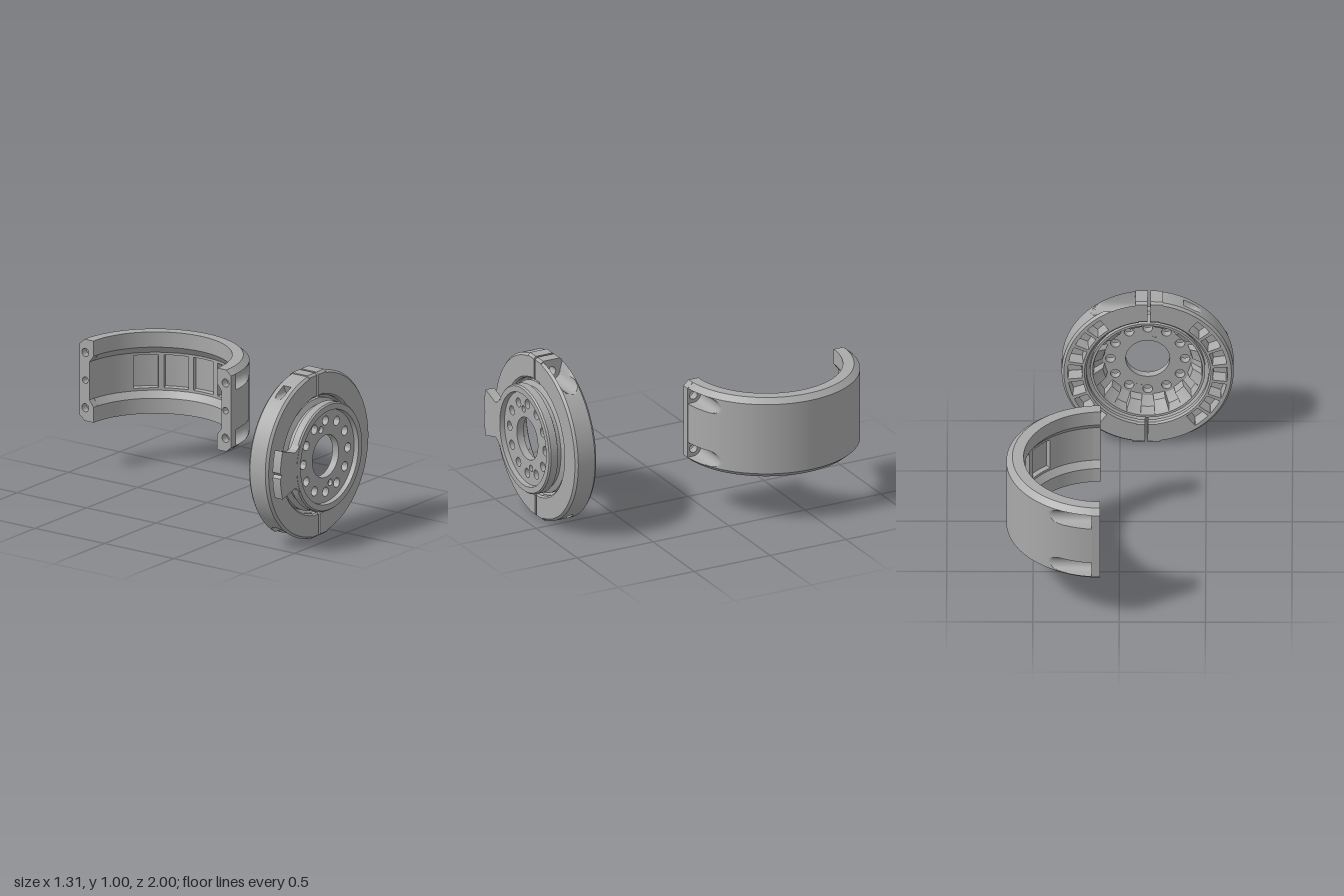
import * as THREE from 'three';
import { toCreasedNormals } from 'three/addons/utils/BufferGeometryUtils.js';

const RAD = Math.PI / 180;
const metal = new THREE.MeshStandardMaterial({ color: 0xa9a9a9 });
metal.name = 'machined grey';

function addPart(parent, name, geometry) {
  const mesh = new THREE.Mesh(toCreasedNormals(geometry, 0.5), metal);
  mesh.name = name;
  parent.add(mesh);
  return mesh;
}

const unique = (list) => [...new Set(list.map((v) => +v.toFixed(5)))].sort((a, b) => a - b);

// Angles from start to end in degrees, with extra stops for steps
function stops(start, end, step, extra = []) {
  const list = [start, end, ...extra];
  for (let a = start + step; a < end - 0.01; a += step) list.push(a);
  return unique(list);
}

// Evenly spaced pockets as [start, end] angle pairs
const pocketRow = (start, pitch, count, rib) =>
  Array.from({ length: count }, (_, i) => [start + pitch * i + rib / 2, start + pitch * (i + 1) - rib / 2]);
const pocketStops = (row) => row.flatMap(([s, e]) => [s, s + 0.5, e - 0.5, e]);
const inPocket = (row, a) => row.some(([s, e]) => a > s + 0.25 && a < e - 0.25);

// Heights that trace a round bore
const boreLines = (centre, r) => Array.from({ length: 13 }, (_, i) => centre + r * Math.sin((i - 6) * 15 * RAD));

// Sweep a counterclockwise (radius, z) loop about the z axis, 0 degrees at +y towards +x
function sweep(angles, section, capped = false) {
  const pos = [], index = [];
  let n = 0;
  angles.forEach((a) => {
    const loop = section(a);
    n = loop.length;
    loop.forEach(([r, h]) => pos.push(r * Math.sin(a * RAD), r * Math.cos(a * RAD), h));
  });
  for (let i = 0; i < angles.length - 1; i++) {
    for (let j = 0; j < n; j++) {
      const a = i * n + j, b = i * n + (j + 1) % n;
      index.push(a, b, b + n, a, b + n, a + n);
    }
  }
  if (capped) {
    const last = (angles.length - 1) * n;
    for (let j = 0; j < n / 2 - 1; j++) {
      const m = n - 1 - j;
      index.push(j, m, m - 1, j, m - 1, j + 1);
      index.push(last + j, last + j + 1, last + m - 1, last + j, last + m - 1, last + m);
    }
  }
  const g = new THREE.BufferGeometry();
  g.setAttribute('position', new THREE.Float32BufferAttribute(pos, 3));
  g.setIndex(index);
  return g;
}

function circlePath(x, y, r) {
  return new THREE.Path().absarc(x, y, r, 0, Math.PI * 2, true);
}

// Straight block closing one end of a half ring, with bolt holes along x
function endBlock(loop, x0, x1, side, holes) {
  const shape = new THREE.Shape(loop.map(([r, h]) => new THREE.Vector2(r, h)));
  holes.forEach(([r, h, radius]) => shape.holes.push(circlePath(r, h, radius)));
  const g = new THREE.ExtrudeGeometry(shape, { depth: x1 - x0, bevelEnabled: false, curveSegments: 10 });
  g.applyMatrix4(new THREE.Matrix4().makeBasis(
    new THREE.Vector3(0, side, 0), new THREE.Vector3(0, 0, 1), new THREE.Vector3(side, 0, 0)));
  return g.translate(side > 0 ? x0 : x1, 0, 0);
}

// Half of the split clamp ring, pocketed on the back
function clampHalf(name) {
  const half = new THREE.Group();
  half.name = name;
  const R = 0.498, mid = 0.85, seat = 0.08;
  const row = pocketRow(36, 108 / 7, 7, 2.6);
  const lines = unique([...boreLines(mid, 0.055), ...boreLines(mid, 0.027)]);
  const section = (a, solid) => {
    const bore = a < 70 ? 0.055 : a > 110 && a < 156.2 ? 0.027 : 0;
    const outer = lines.map((h) => {
      const d = Math.abs(h - mid);
      if (solid || d >= bore) return [R, h];
      return [Math.min(R, (0.425 - Math.sqrt(bore * bore - d * d)) / Math.abs(Math.cos(a * RAD))), h];
    });
    const floor = !solid && inPocket(row, a) ? 0.86 : 0.78;
    return [
      [0.366, 0.78], [0.38, 0.78], [0.385, floor], [0.458, floor], [0.463, 0.78], [0.485, 0.78],
      ...outer,
      [0.485, 0.92], [0.36, 0.92], [0.35, 0.91], [0.35, 0.885], [0.332, 0.87], [0.332, 0.83], [0.355, 0.815], [0.355, 0.79],
    ];
  };
  const a0 = Math.asin(seat / R) / RAD;
  addPart(half, 'clampArc', sweep(
    stops(a0, 180 - a0, 1.5, [...pocketStops(row), 156, 156.4]), (a) => section(a, false)));
  const solid = section(90, true);
  addPart(half, 'boltSeat', endBlock(solid, 0.008, seat, 1, [[0.425, mid, 0.027]]));
  addPart(half, 'threadedEnd', endBlock(solid, 0.008, seat, -1, []));
  return half;
}

// Hub with a toothed cone at the back and a drilled plate
function hub() {
  const group = new THREE.Group();
  group.name = 'hub';
  const teeth = pocketRow(0, 30, 12, 14);
  addPart(group, 'hubRim', sweep(stops(0, 360, 5, pocketStops(teeth)), (a) => {
    const raised = inPocket(teeth, a);
    return [
      [0.25, 0.932], [0.262, raised ? 0.875 : 0.925], [0.312, raised ? 0.83 : 0.885], [0.318, 0.805],
      [0.333, 0.805], [0.335, 0.9], [0.306, 0.915], [0.306, 0.935], [0.325, 0.945], [0.325, 0.99],
      [0.317, 1.0], [0.282, 1.0], [0.278, 0.97], [0.25, 0.965],
    ];
  }));

  // Drilled plate with blind pin holes
  const plate = new THREE.Shape().absarc(0, 0, 0.285, 0, Math.PI * 2);
  plate.holes.push(circlePath(0, 0, 0.128));
  for (let i = 0; i < 12; i++) {
    plate.holes.push(circlePath(0.216 * Math.cos(i * 30 * RAD), 0.216 * Math.sin(i * 30 * RAD), 0.028));
  }
  const pins = [[-0.045, 0.17], [0.045, -0.17]];
  pins.forEach(([x, y]) => plate.holes.push(circlePath(x, y, 0.02)));
  addPart(group, 'drilledPlate',
    new THREE.ExtrudeGeometry(plate, { depth: 0.045, bevelEnabled: false, curveSegments: 20 }).translate(0, 0, 0.926));
  pins.forEach(([x, y]) => {
    addPart(group, 'pin', new THREE.CylinderGeometry(0.021, 0.021, 0.022, 16).rotateX(Math.PI / 2).translate(x, y, 0.938));
  });

  // Index tab with a small notch
  const tab = new THREE.Shape();
  tab.moveTo(-0.29, 0.145);
  tab.quadraticCurveTo(-0.31, 0.11, -0.345, 0.11);
  tab.lineTo(-0.455, 0.145);
  tab.absarc(0, 0, 0.478, 162.3 * RAD, 178 * RAD, false);
  tab.lineTo(-0.463, 0);
  tab.absarc(0, 0, 0.478, 182 * RAD, 197.7 * RAD, false);
  tab.lineTo(-0.345, -0.11);
  tab.quadraticCurveTo(-0.31, -0.11, -0.29, -0.145);
  addPart(group, 'indexTab',
    new THREE.ExtrudeGeometry(tab, { depth: 0.056, bevelEnabled: false }).translate(0, 0, 0.943));
  return group;
}

// Tall half band with bolt counterbores at both ends and pockets inside
function halfBand() {
  const band = new THREE.Group();
  band.name = 'halfBand';
  const R = 0.545, boreAt = 0.1675, bore = 0.047, axis = 0.505, seat = 0.05;
  const row = pocketRow(36, 21.6, 5, 4);
  const edges = [0.2475, 0.2175, 0.155, 0.115, 0.1, 0.095, ...boreLines(boreAt, bore)];
  const lines = unique(edges.flatMap((d) => [d, -d]));
  const section = (a, solid) => {
    const outer = lines.map((h) => {
      const d = Math.abs(h), off = Math.abs(d - boreAt);
      let r = R - Math.max(0, d - 0.2175) * 1.17;
      if (!solid && off < bore) {
        r = Math.min(r, (axis - Math.sqrt(bore * bore - off * off)) / Math.max(0.01, Math.abs(Math.cos(a * RAD))));
      }
      return [r, h];
    });
    const inner = lines.map((h) => {
      const d = Math.abs(h);
      if (!solid && d < 0.098 && inPocket(row, a)) return [0.502, h];
      return [0.445 + 0.03 * THREE.MathUtils.clamp((0.155 - d) / 0.04, 0, 1), h];
    });
    return [...outer, ...inner.reverse()];
  };
  const a0 = Math.asin(seat / R) / RAD;
  addPart(band, 'bandArc', sweep(
    stops(a0, 180 - a0, 1.25, pocketStops(row)), (a) => section(a, false), true));
  const holes = [[axis, boreAt, 0.025], [axis, -boreAt, 0.025], [axis, 0, 0.02]];
  for (const side of [1, -1]) {
    addPart(band, 'bandEnd', endBlock(section(90, true), 0, seat, side, holes));
  }
  band.rotation.x = -Math.PI / 2;
  band.position.set(0.11, 0.5375, -0.455);
  return band;
}

export function createModel() {
  const model = new THREE.Group();
  model.name = 'splitClampSet';

  const disc = new THREE.Group();
  disc.name = 'clampDisc';
  disc.position.set(-0.16, 0.498, 0);
  const clamp = new THREE.Group();
  clamp.name = 'splitClampRing';
  clamp.rotation.z = 0.017;
  const left = clampHalf('clampHalfLeft');
  const right = clampHalf('clampHalfRight');
  right.rotation.z = Math.PI;
  clamp.add(left, right);
  disc.add(clamp, hub());

  model.add(disc, halfBand());
  return model;
}
